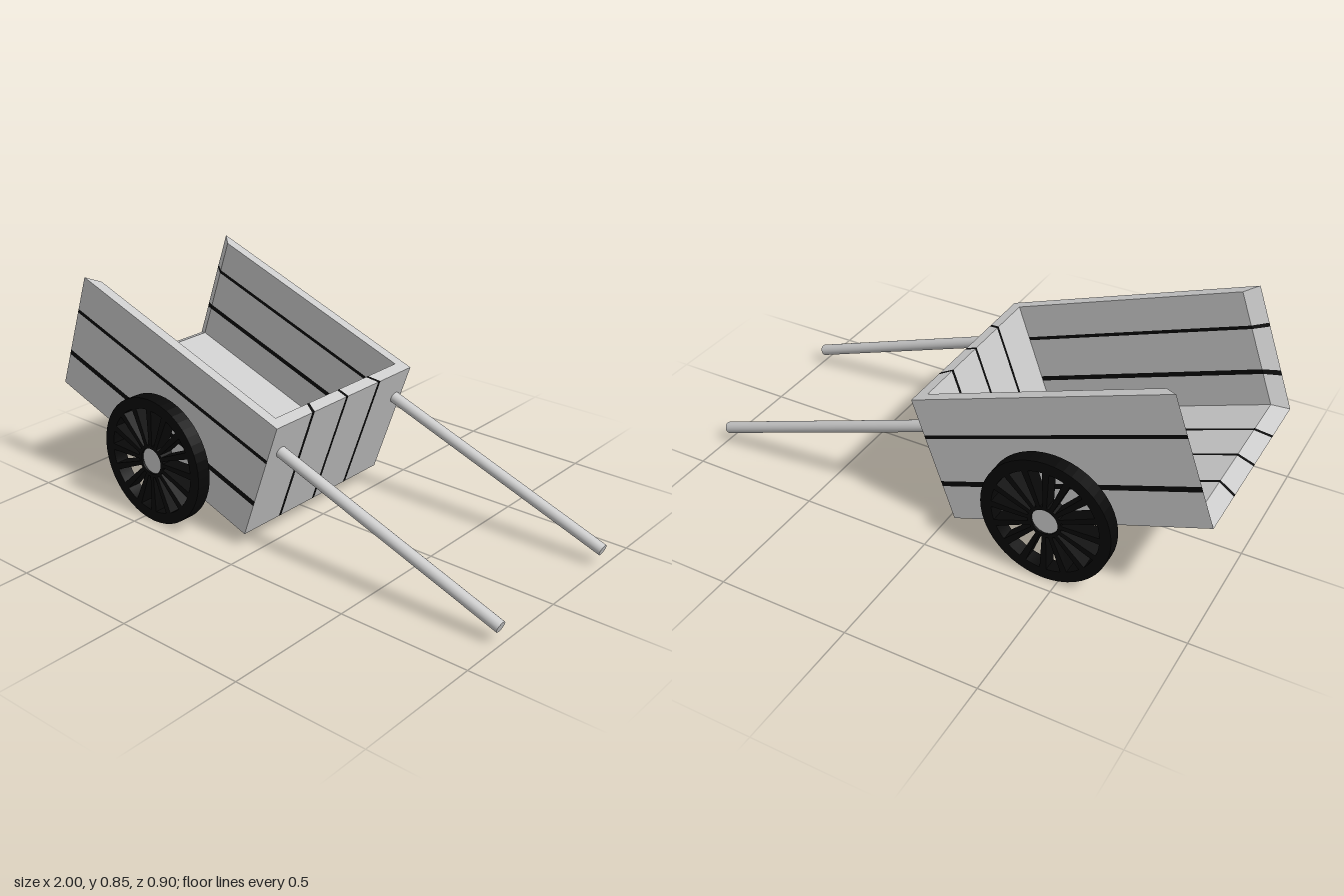
import * as THREE from 'three';

const wood = new THREE.MeshStandardMaterial({ color: 0xcccccc });
const black = new THREE.MeshStandardMaterial({ color: 0x080808 });

// Cart body size in its own, untilted frame
const U = 0.505, H = 0.487, Z = 0.375;            // half length, height, half width
const REAR = -0.455, FRONT = 0.46, FLOOR = 0.042, ZI = 0.335; // inner faces
const lerp = THREE.MathUtils.lerp;

function addMesh(parent, name, geometry, material) {
  const mesh = new THREE.Mesh(geometry, material);
  mesh.name = name;
  parent.add(mesh);
  return mesh;
}

// A wall cut across into planks with dark seams between them.
// place(across, along, t) gives the point; t runs from the inner face (0) to the outer (1).
function addWall(parent, name, seams, place) {
  const wall = new THREE.Group();
  wall.name = name;
  const cuts = [0, ...seams.flatMap(([c, w]) => [c - w / 2, c + w / 2]), 1];
  for (let i = 0; i < cuts.length - 1; i++) {
    const geometry = new THREE.BoxGeometry(1, 1, 1).translate(0.5, 0.5, 0.5);
    const p = geometry.attributes.position;
    for (let k = 0; k < p.count; k++) {
      const across = lerp(cuts[i], cuts[i + 1], p.getY(k));
      p.setXYZ(k, ...place(across, p.getX(k), p.getZ(k)));
    }
    geometry.computeVertexNormals();
    addMesh(wall, i % 2 ? 'seam' : 'plank', geometry, i % 2 ? black : wood);
  }
  parent.add(wall);
}

function makeBody() {
  const body = new THREE.Group();
  body.name = 'body';
  const uAt = (a, t) => lerp(lerp(REAR, -U, t), lerp(FRONT, U, t), a);
  const vAt = (b, t) => lerp(lerp(FLOOR, 0, t), H, b);
  const zAt = (c, t) => lerp(ZI, Z, t) * (2 * c - 1);

  const sideSeams = [[0.3, 0.042], [0.693, 0.03]];
  const crossSeams = [[0.253, 0.018], [0.5, 0.017], [0.747, 0.018]];
  addWall(body, 'leftSide', sideSeams, (s, a, t) => [uAt(a, t), vAt(s, t), lerp(ZI, Z, t)]);
  addWall(body, 'rightSide', sideSeams, (s, a, t) => [uAt(1 - a, t), vAt(s, t), -lerp(ZI, Z, t)]);
  addWall(body, 'floor', crossSeams, (s, a, t) => [uAt(a, t), vAt(0, t), zAt(s, t)]);
  addWall(body, 'headBoard', crossSeams, (s, a, t) => [lerp(FRONT, U, t), vAt(a, t), zAt(s, t)]);

  // Pull shafts
  for (const [name, z] of [['leftShaft', 0.31], ['rightShaft', -0.335]]) {
    const shaft = addMesh(body, name, new THREE.CylinderGeometry(0.022, 0.022, 0.98, 24), wood);
    shaft.rotation.z = -Math.PI / 2;
    shaft.position.set(U + 0.49, 0.36, z);
  }
  return body;
}

// Spoked wheel with tapered spokes cut from one disc
function makeWheel(name) {
  const wheel = new THREE.Group();
  wheel.name = name;
  const R = 0.245, rimIn = 0.203, hubOut = 0.063, hubIn = 0.05, depth = 0.056, spokes = 16;
  const shape = new THREE.Shape().absarc(0, 0, R, 0, Math.PI * 2);
  shape.holes.push(new THREE.Path().absarc(0, 0, hubIn, 0, Math.PI * 2, true));
  for (let i = 0; i < spokes; i++) {
    const mid = (i + 0.5) * Math.PI * 2 / spokes;
    const inner = Math.PI / spokes - 0.0075 / hubOut;
    const outer = Math.PI / spokes - 0.0125 / rimIn;
    const gap = new THREE.Path();
    gap.absarc(0, 0, rimIn, mid - outer, mid + outer, false);
    gap.absarc(0, 0, hubOut, mid + inner, mid - inner, true);
    gap.closePath();
    shape.holes.push(gap);
  }
  const geometry = new THREE.ExtrudeGeometry(shape, { depth, bevelEnabled: false, curveSegments: 24 });
  addMesh(wheel, 'rimAndSpokes', geometry.translate(0, 0, -depth / 2), black);
  const hub = addMesh(wheel, 'hub', new THREE.CylinderGeometry(hubIn, hubIn, 0.04, 32), wood);
  hub.rotation.x = Math.PI / 2;
  return wheel;
}

export function createModel() {
  const cart = new THREE.Group();
  cart.name = 'handCart';

  // The body tips forward so that the shafts rest near the ground
  const body = makeBody();
  body.rotation.z = -0.344;
  body.position.set(-0.527, 0.221, 0);
  cart.add(body);

  for (const s of [1, -1]) {
    const wheel = makeWheel(s > 0 ? 'leftWheel' : 'rightWheel');
    wheel.position.set(-0.445, 0.245, s * 0.421);
    cart.add(wheel);
  }
  return cart;
}
